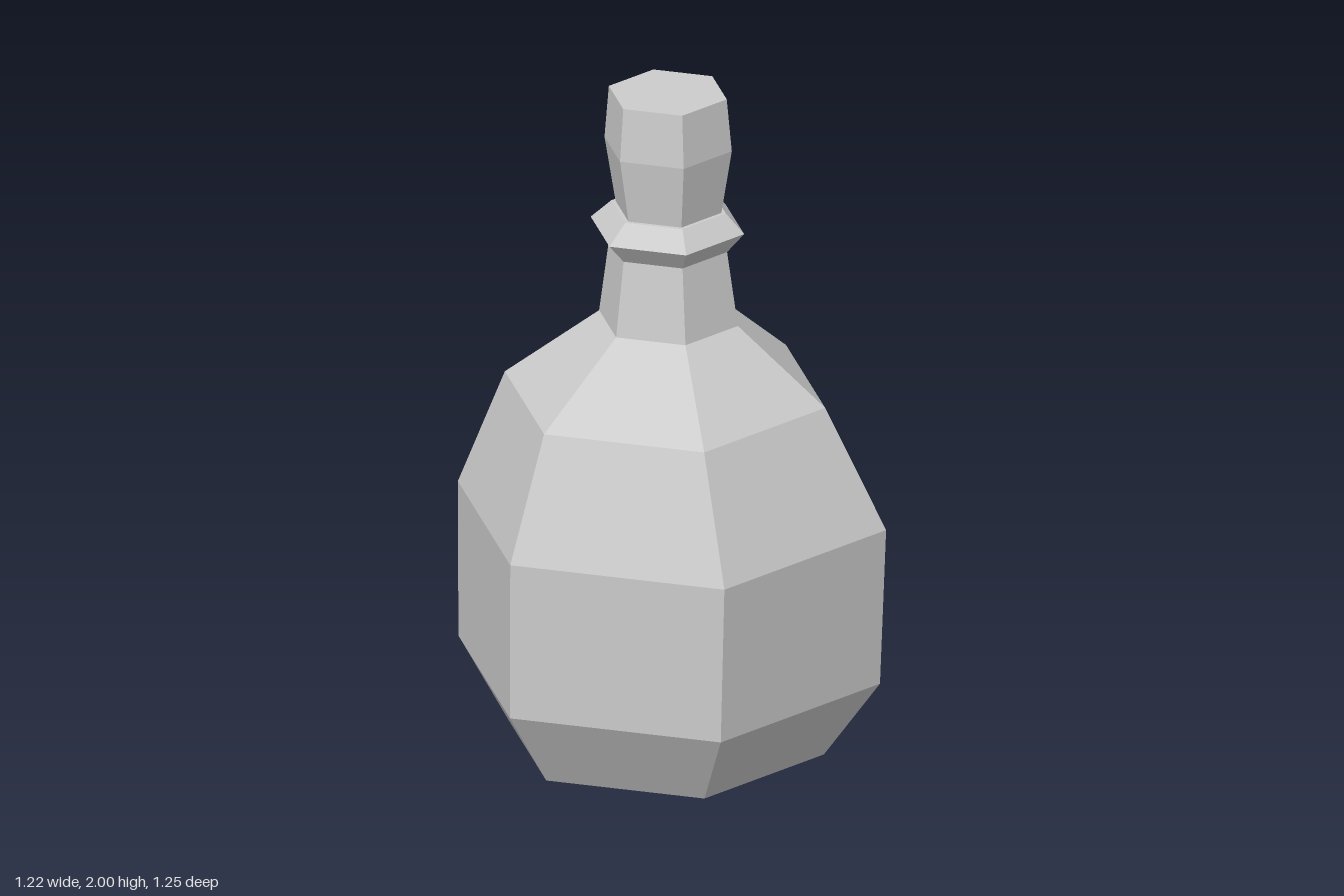
import * as THREE from 'three';

const SIDES = 6;
const TURN = THREE.MathUtils.degToRad(13);

// Rings are [y, radius, centreX, centreZ], from bottom to top
function facetedPart(name, rings, material, capBottom = false, capTop = false) {
  const corner = ([y, r, cx, cz], i) => {
    const a = TURN + (i / SIDES) * Math.PI * 2;
    return [cx + r * Math.sin(a), y, cz + r * Math.cos(a)];
  };
  const centre = ([y, , cx, cz]) => [cx, y, cz];
  const first = rings[0];
  const last = rings[rings.length - 1];
  const points = [];
  for (let i = 0; i < SIDES; i++) {
    for (let k = 0; k < rings.length - 1; k++) {
      const a = corner(rings[k], i);
      const b = corner(rings[k], i + 1);
      const c = corner(rings[k + 1], i + 1);
      const d = corner(rings[k + 1], i);
      points.push(...a, ...b, ...c, ...a, ...c, ...d);
    }
    if (capBottom) points.push(...centre(first), ...corner(first, i + 1), ...corner(first, i));
    if (capTop) points.push(...centre(last), ...corner(last, i), ...corner(last, i + 1));
  }
  const geometry = new THREE.BufferGeometry();
  geometry.setAttribute('position', new THREE.Float32BufferAttribute(points, 3));
  geometry.computeVertexNormals(); // unshared corners give flat facets
  const mesh = new THREE.Mesh(geometry, material);
  mesh.name = name;
  return mesh;
}

export function createModel() {
  const group = new THREE.Group();
  group.name = 'bottle';
  const grey = new THREE.MeshStandardMaterial({ color: 0xcccccc });
  grey.name = 'pale grey';

  // Shared rings where neighbouring parts meet
  const shoulder = [1.3, 0.207, -0.012, -0.005];
  const neckTop = [1.525, 0.176, -0.013, -0.007];
  const collarTop = [1.645, 0.171, -0.012, -0.006];

  // Bulging body with a flat base
  group.add(facetedPart('body', [
    [0, 0.472, -0.02, -0.007],
    [0.24, 0.629, -0.01, -0.003],
    [0.72, 0.639, -0.002, 0.001],
    [1.08, 0.478, -0.022, 0],
    shoulder,
  ], grey, true));

  // Tapering neck
  group.add(facetedPart('neck', [shoulder, neckTop], grey));

  // Sharp collar around the mouth
  group.add(facetedPart('collar', [neckTop, [1.587, 0.229, -0.015, -0.007], collarTop], grey));

  // Stopper, widest at its middle
  group.add(facetedPart('stopper', [
    [1.645, 0.158, -0.012, -0.006],
    [1.84, 0.19, -0.013, -0.006],
    [2, 0.176, -0.014, -0.005],
  ], grey, false, true));

  // Narrow lip closing the collar under the stopper
  group.add(facetedPart('lip', [collarTop, [1.645, 0.158, -0.012, -0.006]], grey));

  return group;
}
